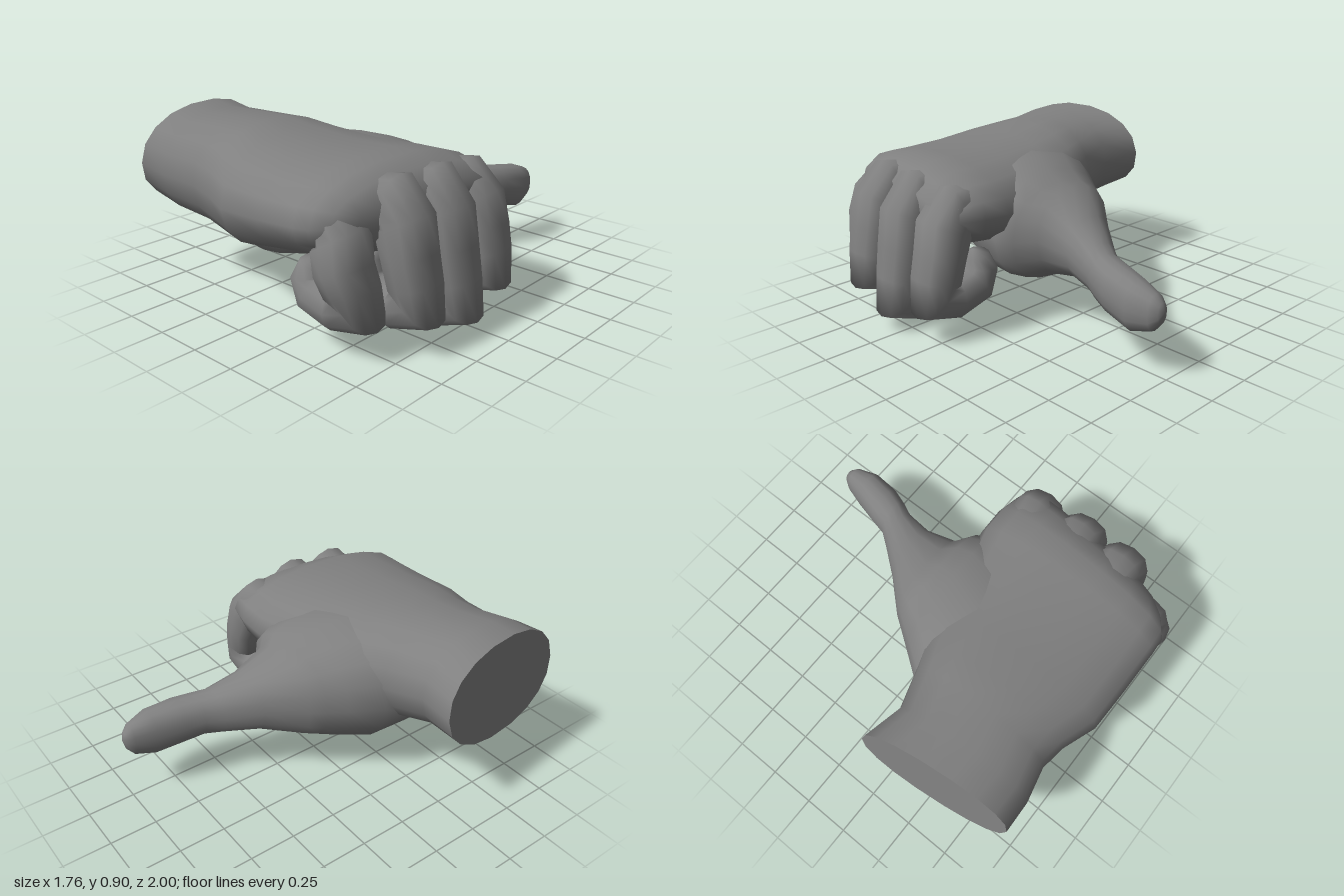
import * as THREE from 'three';

const material = new THREE.MeshStandardMaterial({ color: 0x808080 });

// Rounded-box outline: n = 2 is an ellipse, larger is squarer
function outline(count, n) {
  const bend = (v) => Math.sign(v) * Math.pow(Math.abs(v), 2 / n);
  return Array.from({ length: count }, (_, i) => {
    const a = (i / count) * Math.PI * 2;
    return [bend(Math.cos(a)), bend(Math.sin(a))];
  });
}

// Smooth skin through rings of points, closed at both ends;
// flatStart gives the first end a hard rim, endTip is an optional apex point
function loft(name, rings, { endTip, flatStart = false } = {}) {
  const n = rings[0].length;
  const points = rings.flat();
  const middle = (ring) =>
    ring.reduce((s, p) => s.add(p), new THREE.Vector3()).divideScalar(n);
  const index = [];
  for (let r = 0; r < rings.length - 1; r++) {
    for (let i = 0; i < n; i++) {
      const a = r * n + i, b = r * n + ((i + 1) % n);
      index.push(a, b, a + n, b, b + n, a + n);
    }
  }
  let first = 0;
  if (flatStart) {
    first = points.length;
    points.push(...rings[0].map((p) => p.clone()));
  }
  const start = points.push(middle(rings[0])) - 1;
  const end = points.push(endTip || middle(rings[rings.length - 1])) - 1;
  const last = (rings.length - 1) * n;
  for (let i = 0; i < n; i++) {
    const j = (i + 1) % n;
    index.push(first + j, first + i, start, last + i, last + j, end);
  }
  // Turn the faces outward if the enclosed volume is negative
  let volume = 0;
  for (let i = 0; i < index.length; i += 3) {
    const [a, b, c] = [0, 1, 2].map((k) => points[index[i + k]]);
    volume += a.dot(b.clone().cross(c));
  }
  if (volume < 0) index.reverse();
  const geometry = new THREE.BufferGeometry().setFromPoints(points);
  geometry.setIndex(index);
  geometry.computeVertexNormals();
  const mesh = new THREE.Mesh(geometry, material);
  mesh.name = name;
  return mesh;
}

// Wrist and palm: x, bottom, top, back z, front z, lean along z, lean along y
function buildPalm() {
  const rows = [
    [-0.82, 0.40, 0.91, 0.135, 0.945, 0.11, 0.13],
    [-0.62, 0.355, 0.90, 0.18, 0.94, 0.04, 0],
    [-0.42, 0.31, 0.89, 0.11, 0.90, 0, 0],
    [-0.28, 0.28, 0.885, 0.05, 0.92, 0, 0],
    [-0.10, 0.29, 0.86, 0.0, 0.985, 0, 0],
    [0.15, 0.34, 0.835, -0.04, 0.99, 0, 0],
    [0.38, 0.38, 0.83, -0.10, 0.99, 0, 0],
    [0.50, 0.40, 0.83, -0.1, 0.985, -0.05, 0],
    [0.60, 0.45, 0.79, -0.07, 0.93, -0.11, 0],
    [0.67, 0.52, 0.72, 0.0, 0.84, -0.13, 0],
  ];
  const rings = rows.map(([x, y0, y1, z0, z1, leanZ, leanY]) =>
    outline(18, 2.2).map(([u, v]) => {
      const dz = (u * (z1 - z0)) / 2, dy = (v * (y1 - y0)) / 2;
      return new THREE.Vector3(
        x + dz * leanZ + dy * leanY, (y0 + y1) / 2 + dy, (z0 + z1) / 2 + dz);
    }));
  return loft('palmAndWrist', rings, { flatStart: true });
}

// Thumb and the pad at its base: z, left x, right x, bottom, top
function buildThumb() {
  const rows = [
    [0.80, -0.28, 0.22, 0.34, 0.70],
    [0.55, -0.42, 0.28, 0.255, 0.79],
    [0.33, -0.50, 0.35, 0.205, 0.825],
    [0.12, -0.455, 0.40, 0.17, 0.795],
    [-0.03, -0.345, 0.42, 0.185, 0.75],
    [-0.12, -0.28, 0.38, 0.21, 0.715],
    [-0.19, -0.23, 0.28, 0.235, 0.69],
    [-0.36, -0.07, 0.25, 0.28, 0.59],
    [-0.52, 0.06, 0.28, 0.27, 0.515],
    [-0.60, 0.12, 0.32, 0.26, 0.495],
    [-0.69, 0.145, 0.355, 0.24, 0.485],
    [-0.84, 0.19, 0.375, 0.21, 0.465],
    [-0.95, 0.225, 0.345, 0.245, 0.425],
    [-0.985, 0.25, 0.315, 0.29, 0.39],
  ];
  const rings = rows.map(([z, x0, x1, y0, y1]) =>
    outline(16, 2.3).map(([u, v]) => new THREE.Vector3(
      (x0 + x1 + u * (x1 - x0)) / 2, (y0 + y1 + v * (y1 - y0)) / 2, z)));
  return loft('thumb', rings, { endTip: new THREE.Vector3(0.28, 0.35, -1) });
}

// Curled finger path: x, y, half thickness, half width
const fingerPath = [
  [0.42, 0.63, 0.12, 0.11],
  [0.61, 0.64, 0.15, 0.13],
  [0.67, 0.56, 0.135, 0.14],
  [0.71, 0.40, 0.115, 0.14],
  [0.735, 0.25, 0.115, 0.13],
  [0.755, 0.15, 0.135, 0.115],
  [0.64, 0.105, 0.105, 0.12],
  [0.50, 0.15, 0.105, 0.115],
  [0.46, 0.25, 0.085, 0.10],
  [0.48, 0.34, 0.06, 0.07],
];

// zs holds the depth at the root, the middle joint and the fingertip
function buildFinger({ name, zs, shift, base, reach }) {
  const depth = (i) => (i < 3
    ? THREE.MathUtils.lerp(zs[0], zs[1], i / 3)
    : THREE.MathUtils.lerp(zs[1], zs[2], Math.min(1, (i - 3) / 2)));
  const path = fingerPath.map(([x, y], i) =>
    new THREE.Vector3(x + shift, base + y * reach, depth(i)));
  const rings = path.map((p, i) => {
    const [, , h, w] = fingerPath[i];
    const before = path[Math.max(0, i - 1)];
    const after = path[Math.min(path.length - 1, i + 1)];
    const along = after.clone().sub(before).setZ(0).normalize();
    return outline(12, 2.4).map(([u, v]) => new THREE.Vector3(
      p.x - along.y * u * h, p.y + along.x * u * h, p.z + v * w));
  });
  const endTip = path[path.length - 1].clone().add(new THREE.Vector3(0.02, 0.03, 0));
  return loft(name, rings, { endTip });
}

export function createModel() {
  const hand = new THREE.Group();
  hand.name = 'hand';
  hand.add(buildPalm(), buildThumb());
  const fingers = [
    { name: 'indexFinger', zs: [0.08, 0.055, 0.06], shift: -0.01, base: 0.115, reach: 0.8 },
    { name: 'middleFinger', zs: [0.33, 0.33, 0.325], shift: 0.01, base: 0, reach: 1.03 },
    { name: 'ringFinger', zs: [0.58, 0.6, 0.59], shift: -0.005, base: 0.1, reach: 0.875 },
    { name: 'littleFinger', zs: [0.78, 0.86, 0.81], shift: -0.155, base: 0.14, reach: 0.72 },
  ];
  fingers.forEach((f) => hand.add(buildFinger(f)));
  return hand;
}
